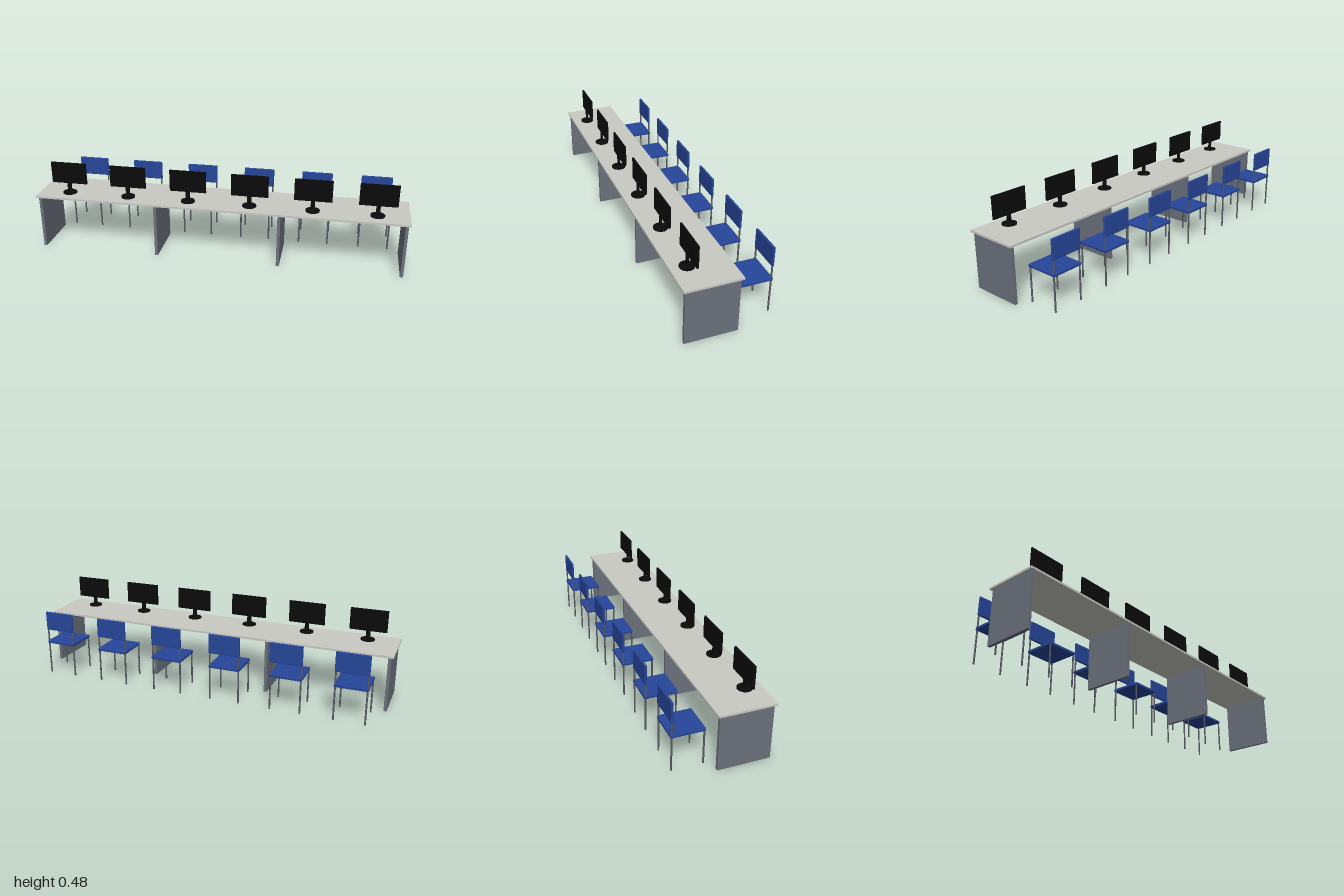
import * as THREE from 'three';
import { RoundedBoxGeometry } from 'three/addons/geometries/RoundedBoxGeometry.js';

const material = (name, color) => {
  const m = new THREE.MeshStandardMaterial({ color });
  m.name = name;
  return m;
};

export function createModel() {
  const deskGrey = material('deskGrey', 0xcacac4);
  const panelGrey = material('panelGrey', 0x6c717c);
  const legGrey = material('legGrey', 0x585b63);
  const chairBlue = material('chairBlue', 0x26469a);
  const black = material('black', 0x0b0b0b);

  const model = new THREE.Group();
  model.name = 'computerDeskRow';

  const add = (parent, name, geometry, mat, x, y, z) => {
    const mesh = new THREE.Mesh(geometry, mat);
    mesh.name = name;
    mesh.position.set(x, y, z);
    parent.add(mesh);
    return mesh;
  };

  // Long desk top on four upright panels
  add(model, 'deskTop', new THREE.BoxGeometry(2, 0.011, 0.291), deskGrey, 0, 0.3005, 0.0965);
  const panel = new THREE.BoxGeometry(0.016, 0.295, 0.27);
  for (const x of [-0.98, -0.333, 0.333, 0.98]) {
    add(model, 'deskPanel', panel, panelGrey, x, 0.1475, 0.0965);
  }

  // Shared chair and monitor geometry
  const seat = new RoundedBoxGeometry(0.172, 0.016, 0.173, 2, 0.004);
  const backrest = new RoundedBoxGeometry(0.172, 0.106, 0.012, 2, 0.004);
  const frontLeg = new THREE.CylinderGeometry(0.0045, 0.0045, 0.182, 12);
  const rearLeg = new THREE.CylinderGeometry(0.0045, 0.0045, 0.35, 12);
  const base = new THREE.CylinderGeometry(0.0375, 0.0375, 0.006, 32);
  const neck = new THREE.BoxGeometry(0.022, 0.082, 0.008);
  const casing = new THREE.BoxGeometry(0.198, 0.118, 0.009);
  const screen = new THREE.BoxGeometry(0.19, 0.11, 0.004);

  for (let i = 0; i < 6; i++) {
    const x = (i - 2.5) / 3;

    // Chair behind the desk, facing +z
    const chair = new THREE.Group();
    chair.name = 'chair';
    chair.position.x = x;
    add(chair, 'seat', seat, chairBlue, 0, 0.188, -0.1545);
    add(chair, 'backrest', backrest, chairBlue, 0, 0.314, -0.2335);
    for (const side of [-1, 1]) {
      add(chair, 'frontLeg', frontLeg, legGrey, side * 0.08, 0.091, -0.0745);
      add(chair, 'rearLeg', rearLeg, legGrey, side * 0.08, 0.175, -0.2335);
    }
    model.add(chair);

    // Monitor turned towards the chair
    const monitor = new THREE.Group();
    monitor.name = 'monitor';
    monitor.position.x = x;
    add(monitor, 'base', base, black, 0, 0.309, 0.159);
    add(monitor, 'neck', neck, black, 0, 0.35, 0.159);
    add(monitor, 'casing', casing, black, 0, 0.418, 0.1505);
    add(monitor, 'screen', screen, black, 0, 0.417, 0.145);
    model.add(monitor);
  }

  return model;
}
